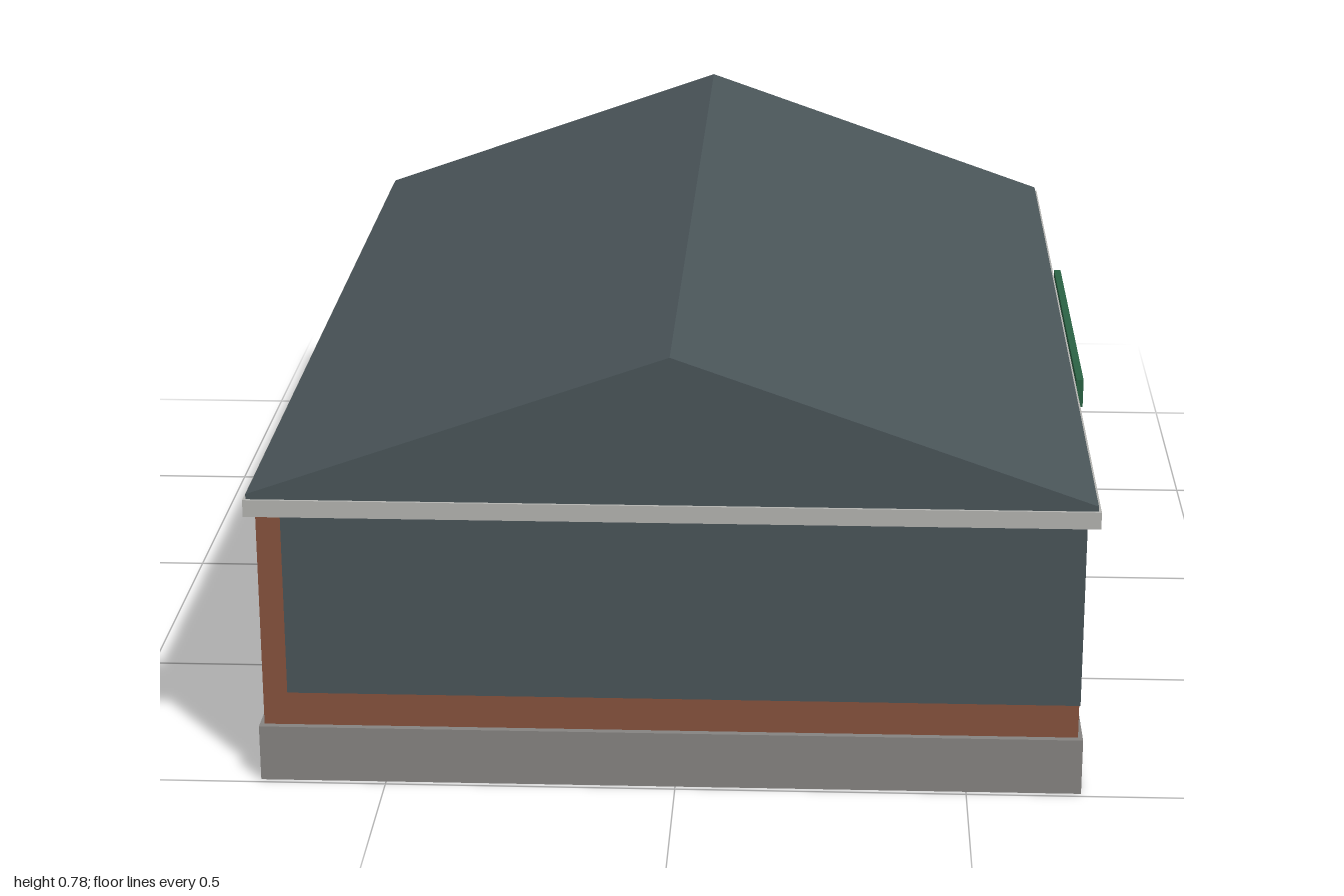
import * as THREE from 'three';

const material = (name, color) => {
  const m = new THREE.MeshStandardMaterial({ color });
  m.name = name;
  return m;
};

export function createModel() {
  const concrete = material('concrete grey', 0x868481);
  const brick = material('brick brown', 0x87533e);
  const slate = material('dark slate', 0x4a5559);
  const trim = material('light grey trim', 0xb4b4b1);
  const green = material('sign green', 0x2b6244);

  const group = new THREE.Group();
  group.name = 'building';

  // Box given by its extents along each axis
  const box = (name, mat, [x0, x1], [y0, y1], [z0, z1]) => {
    const mesh = new THREE.Mesh(new THREE.BoxGeometry(x1 - x0, y1 - y0, z1 - z0), mat);
    mesh.position.set((x0 + x1) / 2, (y0 + y1) / 2, (z0 + z1) / 2);
    mesh.name = name;
    group.add(mesh);
  };

  // Plinth and brick body
  box('plinth', concrete, [-0.717, 0.697], [0, 0.1], [-0.99, 0.99]);
  box('brickWalls', brick, [-0.709, 0.689], [0.1, 0.49], [-0.978, 0.978]);

  // Glazing wraps the front, left and back, standing just proud of the brick
  box('glazing', slate, [-0.667, 0.691], [0.16, 0.491], [-0.98, 0.98]);

  // Entrance door on the glazed long side
  box('door', trim, [0.688, 0.697], [0.1, 0.4], [-0.13, 0.13]);

  // Eaves band and sign board
  box('fascia', trim, [-0.726, 0.712], [0.49, 0.52], [-1, 1]);
  box('signBoard', green, [0.712, 0.725], [0.48, 0.533], [-0.35, 0.35]);

  // Gabled roof with a thin vertical eave
  const profile = new THREE.Shape([
    [-0.721, 0.52], [0.707, 0.52], [0.707, 0.529], [-0.007, 0.78], [-0.721, 0.529],
  ].map(([x, y]) => new THREE.Vector2(x, y)));
  const depth = 1.99;
  const roof = new THREE.Mesh(
    new THREE.ExtrudeGeometry(profile, { depth, bevelEnabled: false }).translate(0, 0, -depth / 2),
    slate,
  );
  roof.name = 'roof';
  group.add(roof);

  return group;
}
